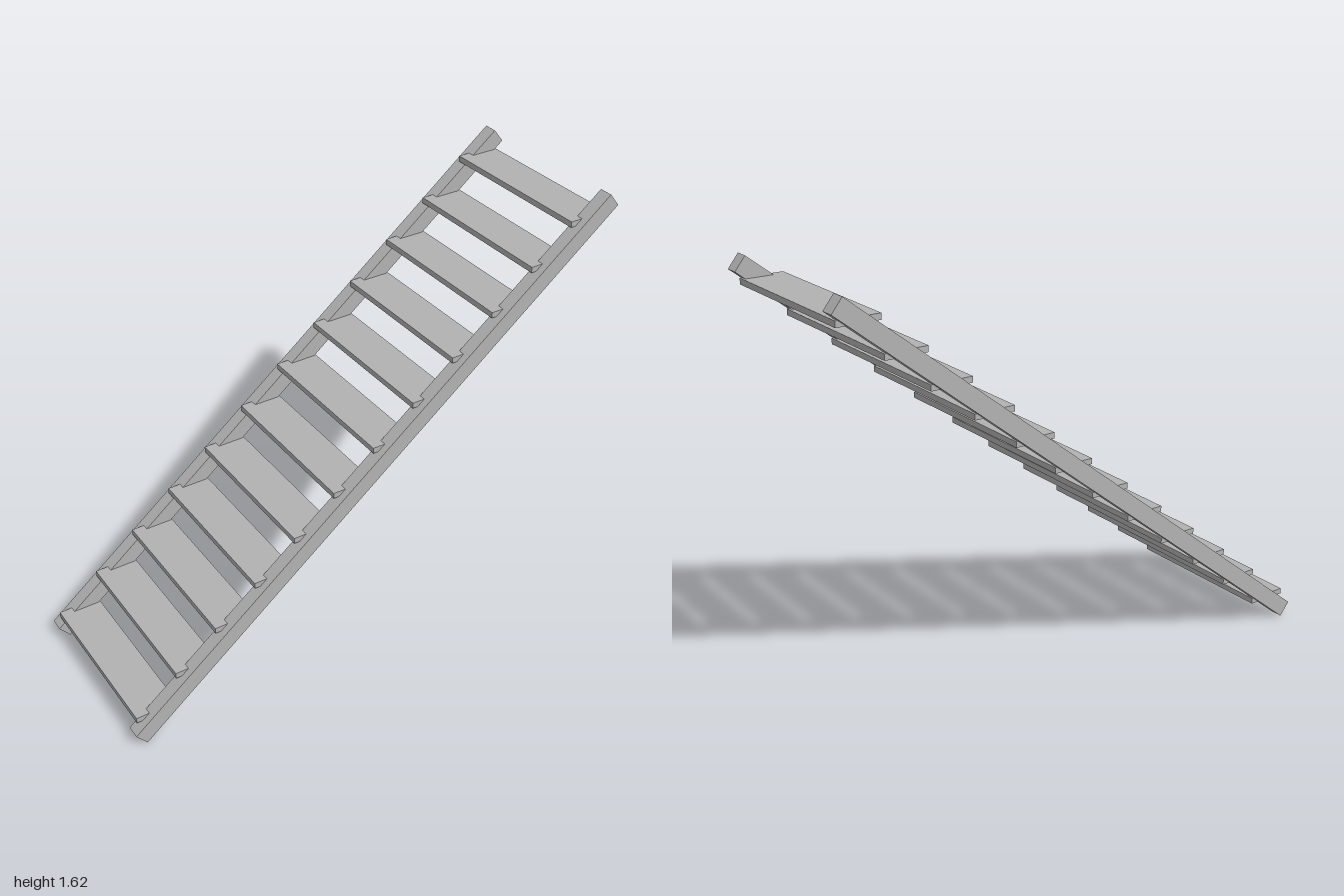
import * as THREE from 'three';

export function createModel() {
  const group = new THREE.Group();
  group.name = 'openStaircase';
  const grey = new THREE.MeshStandardMaterial({ color: 0xb2b2b2 });
  grey.name = 'grey';

  const slope = Math.atan2(1.57, 1.96);
  const midY = 0.81;

  // Two sloping side rails
  const railGeometry = new THREE.BoxGeometry(2.511, 0.064, 0.053);
  for (const side of [-1, 1]) {
    const rail = new THREE.Mesh(railGeometry, grey);
    rail.name = side > 0 ? 'frontRail' : 'backRail';
    rail.position.set(0, midY, side * 0.3265);
    rail.rotation.z = slope;
    group.add(rail);
  }

  // Twelve level treads let into the rails
  const count = 12;
  const treadGeometry = new THREE.BoxGeometry(0.158, 0.022, 0.65);
  for (let i = 0; i < count; i++) {
    const tread = new THREE.Mesh(treadGeometry, grey);
    tread.name = `tread${i + 1}`;
    tread.position.set(-0.902 + i * 0.1633, 0.094 + i * 0.1306, 0);
    group.add(tread);
  }
  return group;
}
